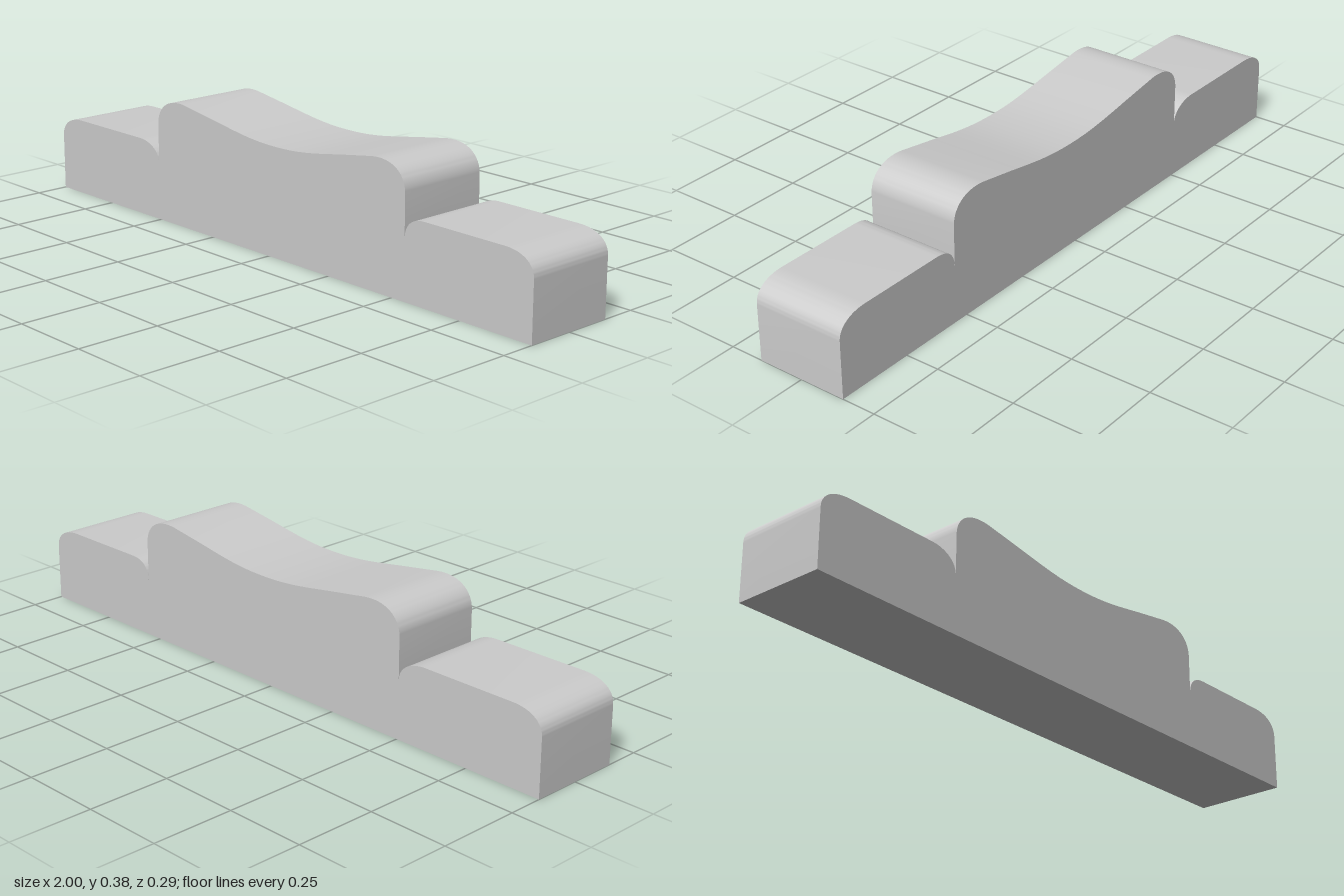
import * as THREE from 'three';
import { toCreasedNormals } from 'three/addons/utils/BufferGeometryUtils.js';

const DEPTH = 0.29;

// Side profile: two low rounded shoulders and a raised, gently dipped middle
function profile() {
  const s = new THREE.Shape();
  s.moveTo(-1, 0);
  s.lineTo(1, 0);
  // right shoulder
  s.lineTo(1, 0.175);
  s.bezierCurveTo(1, 0.215, 0.96, 0.24, 0.9, 0.24);
  s.lineTo(0.62, 0.24);
  s.bezierCurveTo(0.575, 0.24, 0.547, 0.22, 0.547, 0.175);
  // raised middle
  s.lineTo(0.547, 0.3);
  s.bezierCurveTo(0.547, 0.355, 0.5, 0.39, 0.42, 0.38);
  s.lineTo(0.3, 0.361);
  s.bezierCurveTo(0.19, 0.342, 0.13, 0.331, 0.03, 0.331);
  s.bezierCurveTo(-0.07, 0.331, -0.13, 0.342, -0.25, 0.361);
  s.lineTo(-0.375, 0.38);
  s.bezierCurveTo(-0.455, 0.39, -0.504, 0.355, -0.504, 0.3);
  // left shoulder
  s.lineTo(-0.504, 0.175);
  s.bezierCurveTo(-0.504, 0.215, -0.545, 0.24, -0.6, 0.24);
  s.lineTo(-0.9, 0.24);
  s.bezierCurveTo(-0.96, 0.24, -1, 0.215, -1, 0.175);
  s.closePath();
  return s;
}

export function createModel() {
  const group = new THREE.Group();
  group.name = 'contouredBlock';

  const geometry = new THREE.ExtrudeGeometry(profile(), {
    depth: DEPTH, bevelEnabled: false, curveSegments: 20,
  });
  geometry.translate(0, 0, -DEPTH / 2);

  const body = new THREE.Mesh(
    toCreasedNormals(geometry, 0.5),
    new THREE.MeshStandardMaterial({ color: 0xcccccc }),
  );
  body.name = 'body';
  group.add(body);
  return group;
}
